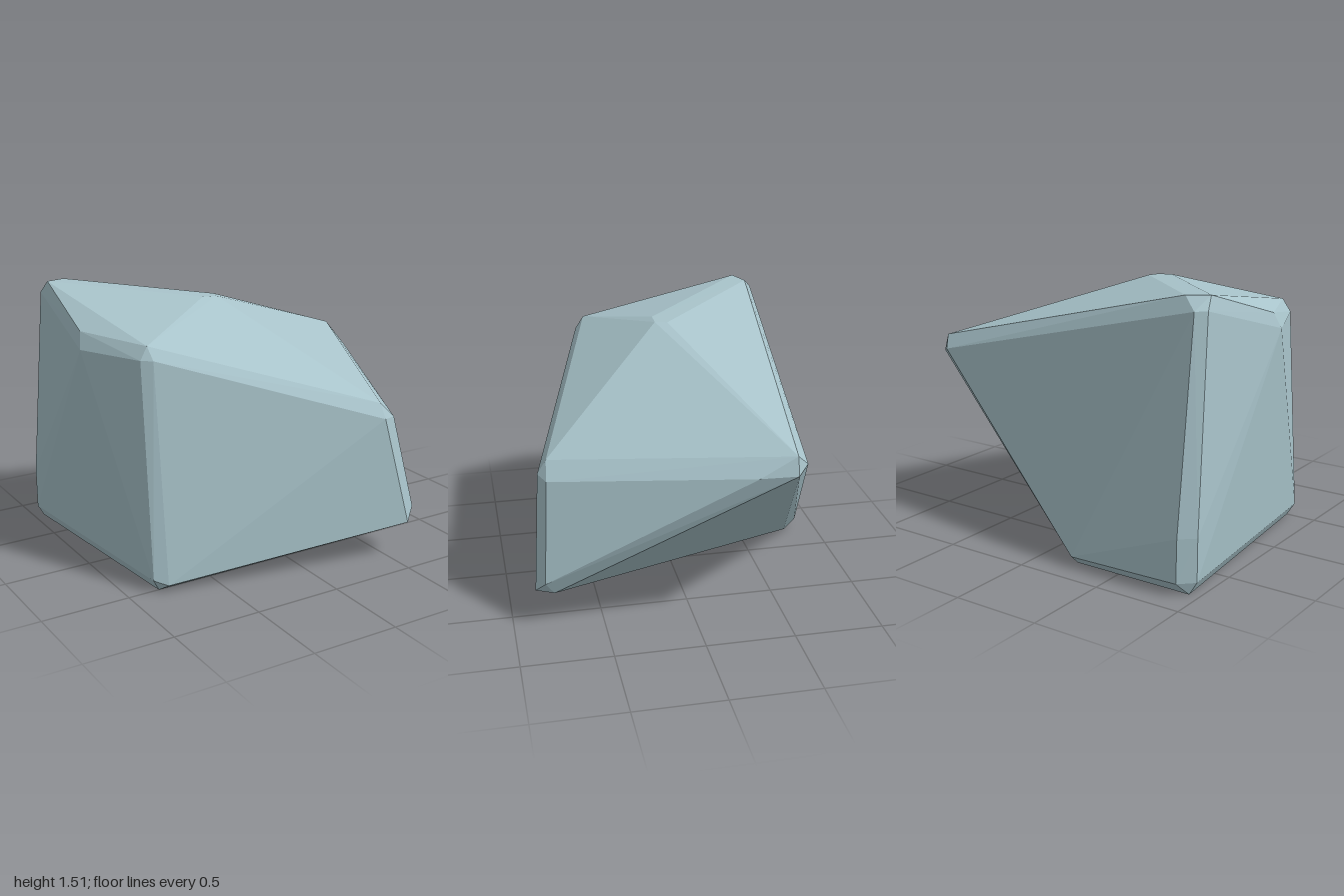
import * as THREE from 'three';
import { ConvexGeometry } from 'three/addons/geometries/ConvexGeometry.js';

// Each chipped corner of the boulder is a small cluster of [x, y, z] points.
const corners = {
  crown: [[-0.27, 1.465, 0.05], [-0.18, 1.46, 0.05], [-0.16, 1.46, -0.02]],
  backPeak: [[-0.92, 1.51, -0.6], [-0.8, 1.505, -0.65], [-0.89, 1.44, -0.71], [-0.94, 1.44, -0.66]],
  sideShoulder: [[-0.975, 1.34, -0.05], [-1, 1.25, 0]],
  frontShoulder: [[-0.8, 1.33, 0.39], [-0.845, 1.26, 0.4], [-0.79, 1.26, 0.44]],
  frontUpper: [[0.44, 0.92, 0.77], [0.44, 0.84, 0.82], [0.53, 0.83, 0.78]],
  frontLower: [[0.59, 0.21, 0.87], [0.66, 0.28, 0.82], [0.64, 0.21, 0.77], [0.55, 0.17, 0.8]],
  sideTip: [[0.97, 1.06, -0.48], [1, 0.96, -0.48], [0.97, 0.95, -0.28], [0.92, 0.99, -0.55]],
  backFoot: [[-0.24, 0.06, -0.87], [-0.2, 0.05, -0.8], [-0.23, 0, -0.8]],
  backSideFoot: [[-0.9, 0.31, -0.86], [-0.98, 0.31, -0.79], [-0.9, 0.07, -0.865],
    [-0.98, 0.07, -0.79], [-0.94, 0, -0.8]],
  frontSideFoot: [[-0.86, 0.07, 0.52], [-0.79, 0.04, 0.56], [-0.82, 0, 0.5]],
};

export function createModel() {
  const group = new THREE.Group();
  group.name = 'rock';

  const stone = new THREE.MeshStandardMaterial({ color: 0xa8c3ca });
  stone.name = 'pale blue stone';

  // The hull of the clusters gives the broad facets and the narrow bevels between them.
  const points = Object.values(corners).flat().map((p) => new THREE.Vector3(...p));
  const boulder = new THREE.Mesh(new ConvexGeometry(points), stone);
  boulder.name = 'boulder';
  group.add(boulder);

  return group;
}
